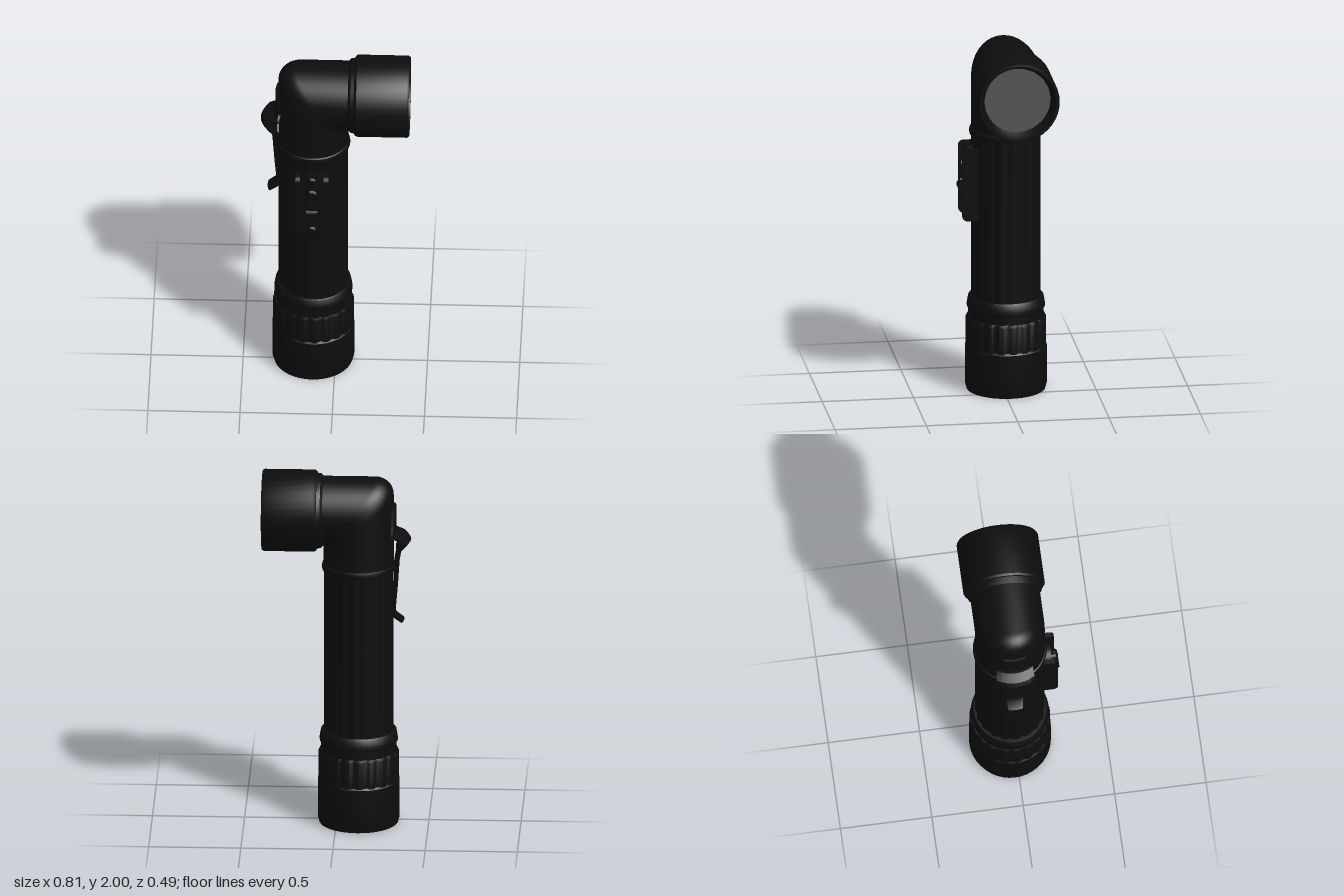
import * as THREE from 'three';
import { toCreasedNormals } from 'three/addons/utils/BufferGeometryUtils.js';

const AX = -0.12, AZ = -0.022, HEAD_Y = 1.778, R = 0.19;
const black = new THREE.MeshStandardMaterial({ color: 0x0d0d0d });
const glass = new THREE.MeshStandardMaterial({ color: 0x555555 });

// Skin a list of equal-length rings, counterclockwise about the path, with end caps
function loft(rings) {
  const n = rings[0].length, pos = rings.flat(2), index = [];
  for (let i = 0; i < rings.length - 1; i++) {
    for (let j = 0; j < n; j++) {
      const a = i * n + j, b = i * n + (j + 1) % n;
      index.push(a, b, b + n, a, b + n, a + n);
    }
  }
  [0, rings.length - 1].forEach((i) => {
    const centre = [0, 1, 2].map((k) => rings[i].reduce((s, p) => s + p[k], 0) / n);
    const c = pos.length / 3;
    pos.push(...centre);
    for (let j = 0; j < n; j++) {
      const a = i * n + j, b = i * n + (j + 1) % n;
      index.push(...(i === 0 ? [c, b, a] : [c, a, b]));
    }
  });
  const g = new THREE.BufferGeometry();
  g.setAttribute('position', new THREE.Float32BufferAttribute(pos, 3));
  g.setIndex(index);
  return toCreasedNormals(g, 0.6);
}

// Upright tube with lengthwise grooves between ribs
function flutedTube(levels, ribs, depth) {
  const shape = [0, 0, 0, 0, 0.6, 1, 1, 0.6];
  const n = ribs * shape.length;
  return loft(levels.map(([r, y]) => Array.from({ length: n }, (_, j) => {
    const t = (j / n) * Math.PI * 2, q = r - depth * shape[j % shape.length];
    return [q * Math.cos(t), y, -q * Math.sin(t)];
  })));
}

function turned(profile) {
  const pts = profile.map(([r, y]) => new THREE.Vector2(r, y));
  return toCreasedNormals(new THREE.LatheGeometry(pts, 40), 0.6);
}

// Right-angle elbow: each lengthwise line turns the corner on its own fillet
function elbowGeometry() {
  const sides = 40, steps = 8, rings = [];
  for (let k = -1; k <= steps + 1; k++) {
    const ring = [];
    for (let j = 0; j < sides; j++) {
      const a = (j / sides) * Math.PI * 2;
      const d = R * Math.cos(a), z = R * Math.sin(a);
      const f = 0.005 + 0.043 * (1 + Math.cos(a));
      const t = (Math.min(Math.max(k, 0), steps) / steps) * Math.PI / 2;
      let x = -d + f - f * Math.cos(t), y = HEAD_Y + d - f + f * Math.sin(t);
      if (k < 0) y = 1.46;
      if (k > steps) x = 0.1 - AX;
      ring.push([x, y, z]);
    }
    rings.push(ring);
  }
  return loft(rings);
}

// Bent spring strap, curved to follow the tube: [distance from axis, y, half width]
function clipGeometry() {
  const path = [
    [0.205, 1.81, 0.06], [0.205, 1.69, 0.075], [0.22, 1.665, 0.1], [0.27, 1.645, 0.103],
    [0.285, 1.622, 0.103], [0.27, 1.6, 0.103], [0.232, 1.56, 0.085], [0.222, 1.5, 0.065],
    [0.212, 1.35, 0.055], [0.2, 1.21, 0.05], [0.21, 1.19, 0.045], [0.248, 1.162, 0.04],
  ];
  const thick = 0.014, cols = 8;
  return loft(path.map(([d, y, h], i) => {
    const p = path[Math.max(i - 1, 0)], q = path[Math.min(i + 1, path.length - 1)];
    const dx = q[0] - p[0], dy = q[1] - p[1], len = Math.hypot(dx, dy);
    const nd = (-dy / len) * thick, ny = (dx / len) * thick;
    const arc = (dist, yy, dir) => Array.from({ length: cols + 1 }, (_, c) => {
      const z = dir * h * (1 - 2 * c / cols);
      return [-(dist - R + Math.sqrt(R * R - z * z)), yy, z];
    });
    return [...arc(d, y, 1), ...arc(d - nd, y - ny, -1)];
  }));
}

// Rounded plate in the XY plane, extruded towards +z
function plate(w, h, r, depth) {
  const s = new THREE.Shape(), x = w / 2, y = h / 2;
  s.absarc(x - r, y - r, r, 0, Math.PI / 2);
  s.absarc(-x + r, y - r, r, Math.PI / 2, Math.PI);
  s.absarc(-x + r, -y + r, r, Math.PI, Math.PI * 1.5);
  s.absarc(x - r, -y + r, r, Math.PI * 1.5, Math.PI * 2);
  return new THREE.ExtrudeGeometry(s, { depth, bevelEnabled: false, curveSegments: 8 });
}

export function createModel() {
  const group = new THREE.Group();
  const body = new THREE.Group();
  body.name = 'flashlight';
  body.position.set(AX, 0, AZ);
  group.add(body);

  const add = (name, geometry, x = 0, y = 0, z = 0, material = black) => {
    const m = new THREE.Mesh(geometry, material);
    m.name = name;
    m.position.set(x, y, z);
    body.add(m);
    return m;
  };

  // Tail cap, its grip and the collar above it
  add('tailCap', turned([[0, 0], [0.214, 0], [0.222, 0.03], [0.222, 0.245], [0.214, 0.255], [0, 0.255]]));
  add('tailCapGrip', flutedTube([[0.219, 0.25], [0.219, 0.4], [0.212, 0.415]], 20, 0.007));
  add('tailCollar', turned([[0.204, 0.4], [0.204, 0.46], [0.212, 0.468], [0.212, 0.485],
    [0.205, 0.525], [0.198, 0.533], [0.18, 0.533]]));

  // Grip tube and neck ring
  add('gripTube', flutedTube([[0.188, 0.5], [0.188, 1.47]], 18, 0.007));
  add('neckRing', turned([[0.185, 1.445], [0.197, 1.45], [0.201, 1.465], [0.197, 1.482], [0.188, 1.488]]));

  // Elbow and lamp head
  add('elbow', elbowGeometry());
  const head = add('lampHead', turned([[0.188, 0.07], [0.203, 0.085], [0.206, 0.105], [0.215, 0.107],
    [0.223, 0.118], [0.223, 0.392], [0.216, 0.403], [0.204, 0.403], [0.18, 0.335], [0.17, 0.325]]), -AX, HEAD_Y);
  head.rotation.z = -Math.PI / 2;
  const lens = add('lens', new THREE.CircleGeometry(0.182, 18), 0.337 - AX, HEAD_Y, 0, glass);
  lens.rotation.y = Math.PI / 2;

  // Belt clip with its mounting pad
  add('beltClip', clipGeometry());
  add('clipPad', new THREE.BoxGeometry(0.03, 0.12, 0.09), -0.183, 1.74, 0);

  // Switch: base plate, guard rails, slider, buttons and screw
  add('switchBase', plate(0.15, 0.41, 0.07, 0.075), 0, 1.185, 0.145);
  for (const side of [-1, 1]) {
    const rail = add('switchGuard', plate(0.1, 0.41, 0.03, 0.026), side * 0.077 - 0.013, 1.185, 0.2);
    rail.rotation.y = Math.PI / 2;
  }
  add('switchSlider', plate(0.06, 0.12, 0.012, 0.055), 0, 1.15, 0.2);
  const ridge = add('sliderRidge', new THREE.CylinderGeometry(0.025, 0.025, 0.06, 16), 0, 1.16, 0.242);
  ridge.rotation.z = Math.PI / 2;
  [['signalButton', 0.032, 1.28, 0.262], ['upperScrew', 0.026, 1.35, 0.235], ['lowerScrew', 0.026, 1.02, 0.235]]
    .forEach(([name, r, y, top]) => {
      const b = add(name, turned([[r, 0], [r, 0.04], [r * 0.7, 0.05], [0, 0.053]]), 0, y, top - 0.053);
      b.rotation.x = Math.PI / 2;
    });

  return group;
}
